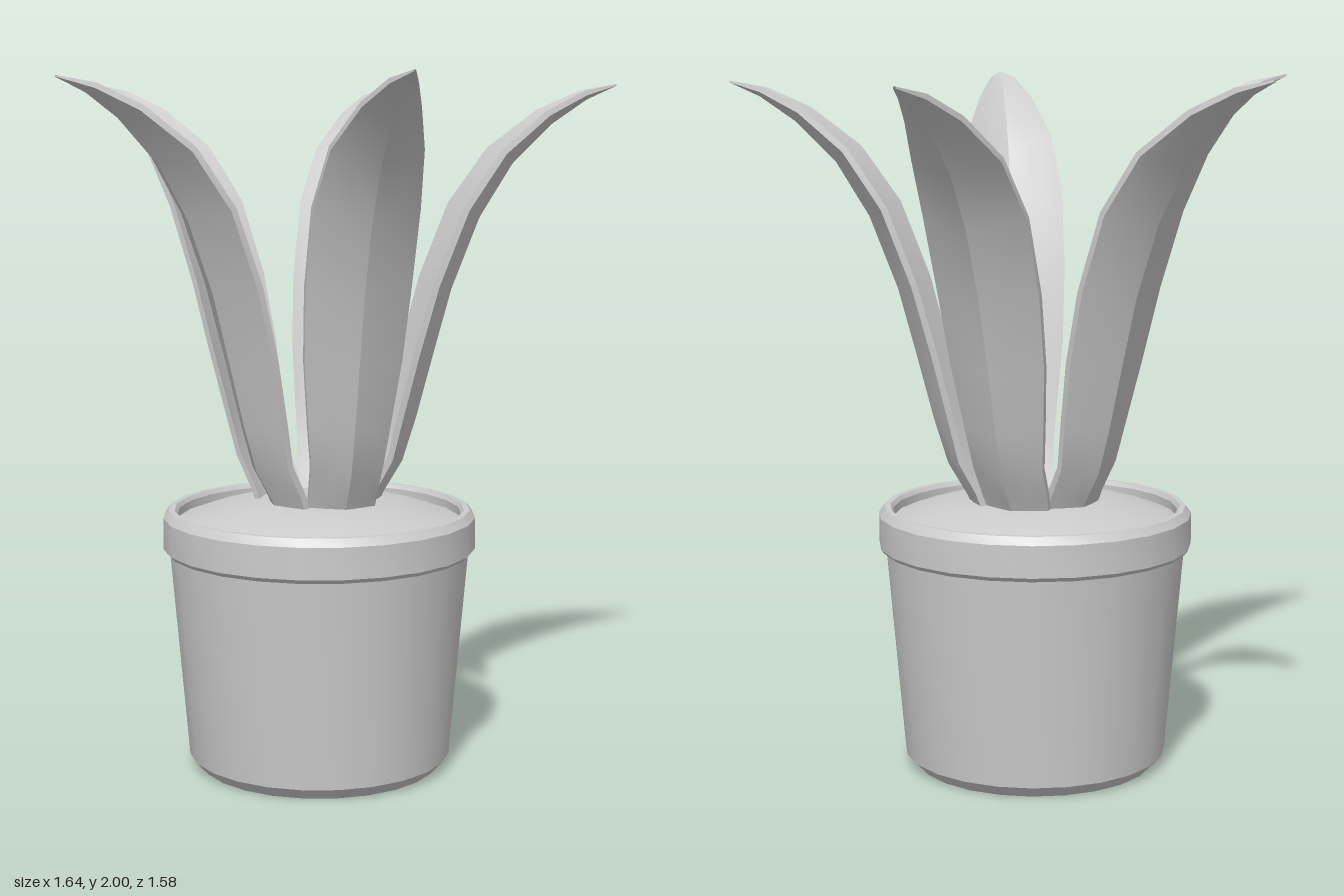
import * as THREE from 'three';
import { toCreasedNormals } from 'three/addons/utils/BufferGeometryUtils.js';

const material = new THREE.MeshStandardMaterial({ color: 0xcccccc });
const leafMaterial = new THREE.MeshStandardMaterial({ color: 0xcccccc, side: THREE.DoubleSide });

function lathe(name, profile) {
  const points = profile.map(([r, y]) => new THREE.Vector2(r, y));
  const geometry = toCreasedNormals(new THREE.LatheGeometry(points, 24), 0.5);
  const mesh = new THREE.Mesh(geometry, material);
  mesh.name = name;
  return mesh;
}

// Leaf stations: reach (0 base, 1 tip), height, half width, depth of the channel
const STATIONS = [
  [-0.04, 0.74, 0.095, 0.035],
  [0.0, 0.8, 0.1, 0.04],
  [0.08, 0.89, 0.105, 0.045],
  [0.14, 1.02, 0.12, 0.055],
  [0.21, 1.2, 0.14, 0.06],
  [0.29, 1.4, 0.15, 0.06],
  [0.41, 1.61, 0.15, 0.06],
  [0.55, 1.765, 0.128, 0.05],
  [0.72, 1.88, 0.08, 0.032],
  [0.87, 1.95, 0.038, 0.014],
  [1.0, 1.99, 0.003, 0],
];
const ACROSS = [-1, -0.5, 0, 0.5, 1];

// A thin channelled blade running from a base point to a tip point
function leaf([bx, bz], [tx, tz], tipHeight) {
  const dx = tx - bx, dz = tz - bz, length = Math.hypot(dx, dz);
  const radial = new THREE.Vector3(dx / length, 0, dz / length);
  const side = new THREE.Vector3(radial.z, 0, -radial.x);
  const rise = (tipHeight - 0.74) / (1.99 - 0.74);
  const rib = STATIONS.map(([s, y]) => new THREE.Vector3(bx + dx * s, 0.74 + (y - 0.74) * rise, bz + dz * s));
  const positions = [], index = [], ring = ACROSS.length * 2;

  STATIONS.forEach(([, , half, depth], i) => {
    const tangent = rib[Math.min(i + 1, rib.length - 1)].clone().sub(rib[Math.max(i - 1, 0)]).normalize();
    const normal = new THREE.Vector3().crossVectors(tangent, side);
    const thickness = Math.min(0.018, 0.004 + half * 0.3);
    const add = (u, lift) => {
      const p = rib[i].clone().addScaledVector(side, u * half)
        .addScaledVector(normal, depth * Math.abs(u) ** 1.3 + lift);
      positions.push(p.x, p.y, p.z);
    };
    ACROSS.forEach((u) => add(u, 0));
    ACROSS.forEach((u) => add(-u, thickness));
    if (i === STATIONS.length - 1) return;
    for (let j = 0; j < ring; j++) {
      const a = i * ring + j, b = i * ring + (j + 1) % ring;
      index.push(a, b, a + ring, b, b + ring, a + ring);
    }
  });

  const geometry = new THREE.BufferGeometry();
  geometry.setAttribute('position', new THREE.Float32BufferAttribute(positions, 3));
  geometry.setIndex(index);
  return new THREE.Mesh(toCreasedNormals(geometry, 0.45), leafMaterial);
}

export function createModel() {
  const model = new THREE.Group();
  model.name = 'pottedPlant';

  // Pot, rim and soil
  const pot = new THREE.Group();
  pot.name = 'pot';
  pot.add(
    lathe('potBody', [[0, 0], [0.35, 0], [0.382, 0.035], [0.435, 0.65]]),
    lathe('rim', [[0.425, 0.638], [0.443, 0.638], [0.453, 0.65], [0.453, 0.74], [0.437, 0.762],
      [0.42, 0.762], [0.412, 0.75], [0.412, 0.69]]),
    lathe('soil', [[0.415, 0.725], [0.34, 0.752], [0.25, 0.777], [0.13, 0.79], [0, 0.795]]),
  );
  pot.position.set(-0.017, 0, -0.012);
  model.add(pot);

  // Five leaves: base (x, z), tip (x, z), tip height
  const leaves = [
    ['frontLeaf', [-0.01, 0.17], [-0.1, 0.785], 2.0],
    ['rightLeaf', [-0.18, 0.03], [-0.82, 0.13], 1.99],
    ['leftLeaf', [0.18, 0.01], [0.815, 0.215], 1.97],
    ['backLeftLeaf', [0.1, -0.19], [0.515, -0.75], 1.955],
    ['backRightLeaf', [-0.12, -0.19], [-0.44, -0.79], 1.97],
  ];
  for (const [name, base, tip, height] of leaves) {
    const mesh = leaf(base, tip, height);
    mesh.name = name;
    model.add(mesh);
  }
  return model;
}
